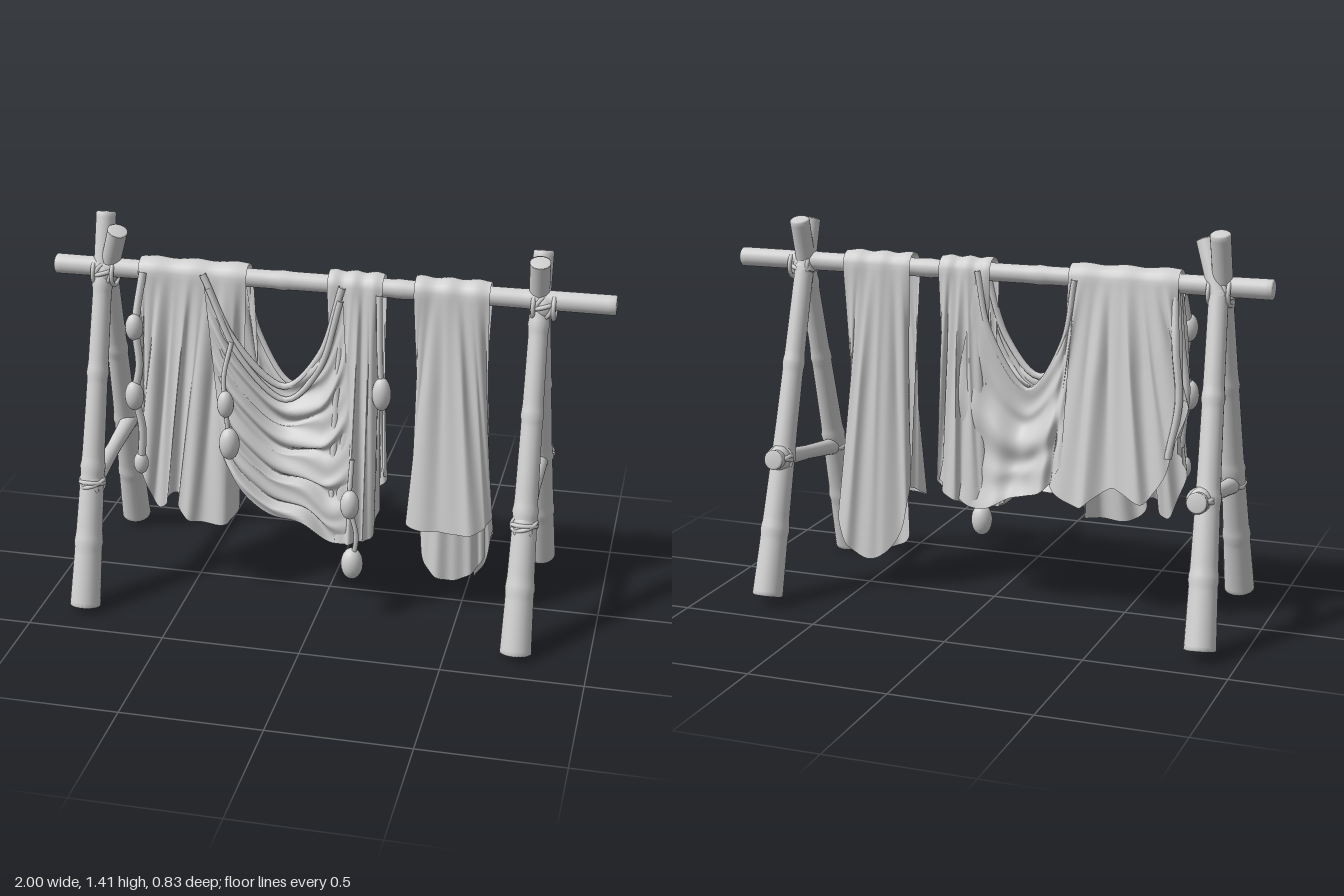
import * as THREE from 'three';

const V = (p) => new THREE.Vector3(...p);
const curve = (pts) => new THREE.CatmullRomCurve3(pts.map(V), false, 'centripetal');
const RAIL_Y = 1.21, RAIL_Z = 0.015;

export function createModel() {
  const root = new THREE.Group();
  const grey = new THREE.MeshStandardMaterial({ color: 0xd0d0d0, side: THREE.DoubleSide });
  grey.name = 'plain grey';

  const add = (name, geo, parent = root) => {
    const m = new THREE.Mesh(geo, grey);
    m.name = name;
    parent.add(m);
    return m;
  };

  // Tapered pole with raised growth rings, running from a to b
  function pole(name, a, b, radii, nodes) {
    const A = V(a), dir = V(b).sub(A), len = dir.length(), n = 72;
    const pts = [new THREE.Vector2(0, 0)];
    for (let i = 0; i <= n; i++) {
      const t = i / n, f = t * (radii.length - 1), k = Math.min(Math.floor(f), radii.length - 2);
      let r = THREE.MathUtils.lerp(radii[k], radii[k + 1], f - k);
      for (const q of nodes) r += 0.004 * Math.exp(-(((t - q) * len / 0.016) ** 2));
      if (i === 0) pts.push(new THREE.Vector2(r - 0.006, 0), new THREE.Vector2(r, 0.005));
      else if (i === n) pts.push(new THREE.Vector2(r, len - 0.005), new THREE.Vector2(r - 0.006, len));
      else pts.push(new THREE.Vector2(r, t * len));
    }
    pts.push(new THREE.Vector2(0, len));
    const m = add(name, new THREE.LatheGeometry(pts, 24));
    m.position.copy(A);
    m.quaternion.setFromUnitVectors(new THREE.Vector3(0, 1, 0), dir.normalize());
  }

  // Cord wraps and a lump of knot around a joint
  function binding(name, x, y, z, r, tilts) {
    const g = new THREE.Group();
    g.name = name;
    g.position.set(x, y, z);
    for (const [rx, ry, off] of tilts) {
      const t = add('cordWrap', new THREE.TorusGeometry(r, 0.008, 8, 24), g);
      t.rotation.set(rx, ry, 0);
      t.position.x = off;
    }
    add('knot', new THREE.SphereGeometry(r, 18, 12), g).scale.set(0.98, 1.15, 0.98);
    root.add(g);
  }

  // Rail and the two A-frames
  pole('rail', [-1, RAIL_Y, RAIL_Z], [1, RAIL_Y, RAIL_Z], [0.036, 0.033, 0.033, 0.035], [0.18, 0.42, 0.63, 0.86]);
  const legR = [0.056, 0.048, 0.041, 0.037, 0.034, 0.036];
  const nodes = [0.17, 0.36, 0.6, 0.82];
  const frames = [
    { x: -0.828, front: [[-0.835, 0.017, 0.362], [-0.822, 1.4, -0.04]], back: [[-0.87, 0.035, -0.365], [-0.812, 1.2, 0]], top: [-0.75, 1.365, 0.055] },
    { x: 0.742, front: [[0.745, 0.017, 0.362], [0.738, 1.37, -0.04]], back: [[0.745, 0.035, -0.365], [0.74, 1.2, 0]], top: [0.738, 1.36, 0.055] },
  ];
  for (const f of frames) {
    const crossing = f.back[1];
    pole('frontLeg', f.front[0], f.front[1], legR, nodes);
    pole('backLeg', f.back[0], crossing, legR.slice(0, 5), [0.2, 0.42, 0.7]);
    pole('backLegTip', [crossing[0] - 0.006, crossing[1] - 0.03, crossing[2] - 0.01], f.top, [0.034, 0.035, 0.036], []);
    pole('rung', [f.x, 0.445, 0.275], [f.x, 0.53, -0.3], [0.034, 0.029, 0.026, 0.03, 0.036], []);
    binding('railBinding', f.x + 0.012, RAIL_Y - 0.02, RAIL_Z, 0.044,
      [[0, 1.57, -0.035], [0, 1.57, 0.035], [0.5, 0.8, 0], [-0.5, -0.8, 0], [1.4, 0.3, 0]]);
    binding('frontRungBinding', f.x, 0.46, 0.235, 0.043, [[1.25, 0, 0], [1.6, 0.3, 0], [0.1, 0.2, 0]]);
    binding('backRungBinding', f.x, 0.52, -0.24, 0.043, [[-1.25, 0, 0], [-1.6, 0.3, 0], [0.1, 0.2, 0]]);
  }

  // Cloth surface: a grid moved by a rule of (u, v)
  function cloth(name, nu, nv, rule) {
    const g = new THREE.PlaneGeometry(1, 1, nu, nv);
    const p = g.attributes.position;
    for (let i = 0; i < p.count; i++) {
      const q = rule(p.getX(i) + 0.5, p.getY(i) + 0.5);
      p.setXYZ(i, q.x, q.y, q.z);
    }
    g.computeVertexNormals();
    add(name, g);
  }
  const pleat = (u, n, s) => 0.6 * Math.sin(u * n * 6.28 + s) + 0.4 * Math.sin(u * n * 11.3 + 2.1 * s);

  // Cloth hung over the rail, from the front hem up, over and down to the back hem
  function drape(name, x0, x1, frontHem, backHem, folds, amp) {
    const F = curve(frontHem), B = curve(backHem);
    cloth(name, 90, 70, (u, v) => {
      const x = THREE.MathUtils.lerp(x0, x1, u), R = 0.052 + 0.003 * Math.sin(u * 17 + x0);
      if (v > 0.42 && v < 0.58) {
        const a = (v - 0.42) / 0.16 * Math.PI;
        return new THREE.Vector3(x, RAIL_Y + R * Math.sin(a), RAIL_Z + R * Math.cos(a));
      }
      const front = v <= 0.5, side = front ? 1 : -1;
      const t = front ? 1 - v / 0.42 : (v - 0.58) / 0.42;
      const p = new THREE.Vector3(x, RAIL_Y, RAIL_Z + side * R);
      p.lerp((front ? F : B).getPoint(u), t);
      const w = Math.min(1, t * 2.5);
      p.z += amp * w * pleat(u, folds, front ? 0.4 : 2);
      p.x += 0.35 * amp * w * Math.sin(u * folds * 9 + t * 3);
      return p;
    });
  }

  // Sheet stretched between an upper and a lower edge, with folds along or down it
  function sheet(name, upper, lower, along, down, amp) {
    const U = curve(upper), L = curve(lower), s = Math.sign(upper[upper.length - 1][0] - upper[0][0]);
    cloth(name, 60, 90, (u, v) => {
      const t = 1 - v, p = U.getPoint(u).lerp(L.getPoint(u), t);
      const mid = Math.sin(Math.PI * THREE.MathUtils.clamp(u, 0, 1)) ** 0.7;
      p.z += s * amp * (along ? mid * pleat(t + 0.06 * Math.sin(u * 5), along, 1) : 0);
      p.y -= along ? 0.5 * amp * mid * Math.sin(t * along * 6.28) : 0;
      p.z += s * amp * t * (down ? pleat(u, down, 0.7) : 0);
      return p;
    });
  }

  // Straight cloth near the left end of the rail, its back panel curling into a tube
  drape('straightCloth', 0.31, 0.572,
    [[0.34, 0.38, 0.02], [0.3, 0.34, 0.09], [0.44, 0.34, 0.13], [0.56, 0.36, 0.155], [0.61, 0.4, 0.1], [0.59, 0.42, 0.03]],
    [[0.33, 0.5, 0], [0.32, 0.33, -0.05], [0.4, 0.15, -0.07], [0.48, 0.12, -0.075], [0.56, 0.17, -0.08], [0.6, 0.28, -0.05], [0.57, 0.15, 0], [0.54, 0.12, 0.025]],
    4, 0.009);
  sheet('straightClothInnerFold',
    [[0.35, 1.2, 0.03], [0.45, 1.2, 0.05], [0.55, 1.2, 0.03]],
    [[0.33, 0.3, -0.03], [0.37, 0.16, 0.06], [0.46, 0.12, 0.075], [0.54, 0.15, 0.05], [0.58, 0.2, 0.02]], 0, 3, 0.01);

  // Wide ragged cloth near the right end
  drape('wideCloth', -0.68, -0.285,
    [[-0.67, 0.6, 0.03], [-0.69, 0.52, 0.1], [-0.61, 0.33, 0.13], [-0.55, 0.4, 0.14], [-0.5, 0.31, 0.16], [-0.35, 0.3, 0.14], [-0.33, 0.33, 0.04]],
    [[-0.68, 0.8, -0.01], [-0.73, 0.82, -0.08], [-0.68, 0.6, -0.11], [-0.6, 0.46, -0.15], [-0.48, 0.5, -0.13], [-0.36, 0.42, -0.14], [-0.24, 0.48, -0.1], [-0.26, 0.5, -0.02]],
    5, 0.016);

  // Narrow cloth holding the end of the swag
  drape('narrowCloth', 0.005, 0.2,
    [[0.03, 0.38, 0.05], [0.01, 0.33, 0.13], [0.06, 0.29, 0.19], [0.13, 0.3, 0.2], [0.18, 0.3, 0.15], [0.19, 0.36, 0.03]],
    [[0.02, 0.45, 0], [0, 0.42, -0.05], [0.1, 0.38, -0.08], [0.19, 0.42, -0.06], [0.2, 0.5, 0]],
    4, 0.014);

  // Swag, front and back, its upper edges hanging close together
  const frontEdge = [[-0.44, 1.23, 0.072], [-0.32, 0.99, 0.09], [-0.15, 0.83, 0.07], [-0.02, 0.96, 0.08], [0.06, 1.22, 0.07]];
  const backEdge = [[0.05, 1.22, -0.04], [0, 1, -0.045], [-0.14, 0.8, -0.03], [-0.27, 0.98, -0.05], [-0.31, 1.21, -0.04]];
  sheet('frontSwag', frontEdge,
    [[-0.36, 0.56, 0.14], [-0.28, 0.44, 0.17], [-0.18, 0.37, 0.18], [-0.05, 0.36, 0.19], [0.05, 0.29, 0.2], [0.14, 0.3, 0.2]],
    5, 0, 0.024);
  sheet('backSwag', backEdge,
    [[0.19, 0.45, -0.05], [0.05, 0.36, -0.08], [-0.1, 0.42, -0.1], [-0.22, 0.46, -0.12], [-0.29, 0.56, -0.11]],
    2, 3, 0.016);
  const rope = (name, pts, r) => add(name, new THREE.TubeGeometry(curve(pts), 40, r, 8));
  rope('frontSwagRolledEdge', frontEdge, 0.013);
  rope('backSwagRolledEdge', backEdge, 0.011);
  rope('frontSwagSecondRoll', frontEdge.map(([x, y, z]) => [x * 0.95, y - 0.045, z + 0.014]), 0.011);

  // Loose ragged strips at the right edge of the wide cloth
  for (let i = 0; i < 4; i++) {
    const z = 0.06 - i * 0.05;
    rope('raggedStrip', [[-0.66, 1.22, 0.02 + z * 0.3], [-0.685, 1, z * 0.8], [-0.69 - 0.015 * (i % 2), 0.82, z], [-0.675, 0.62 + 0.05 * (i % 3), z * 1.2]], 0.014);
  }

  // Hanging cords with pods
  rope('podCord', [[-0.66, 1.22, 0.07], [-0.675, 1.04, 0.13], [-0.66, 0.9, 0.15], [-0.675, 0.79, 0.16], [-0.655, 0.66, 0.16], [-0.665, 0.52, 0.16]], 0.015);
  rope('podCord', [[-0.33, 1.0, 0.11], [-0.35, 0.88, 0.15], [-0.34, 0.78, 0.17], [-0.325, 0.62, 0.18]], 0.009);
  rope('podCord', [[0.19, 1.2, 0.07], [0.2, 1, 0.1], [0.21, 0.86, 0.11]], 0.011);
  rope('podCord', [[0.12, 0.62, 0.18], [0.12, 0.46, 0.215], [0.145, 0.34, 0.22], [0.13, 0.24, 0.21]], 0.009);
  const pods = [
    [-0.678, 1.035, 0.135, 0.032, 0.05], [-0.678, 0.785, 0.165, 0.034, 0.055], [-0.665, 0.52, 0.16, 0.027, 0.042],
    [-0.34, 0.785, 0.17, 0.03, 0.05], [-0.325, 0.64, 0.185, 0.037, 0.06], [0.21, 0.85, 0.11, 0.034, 0.062],
    [0.12, 0.46, 0.215, 0.034, 0.055], [0.128, 0.225, 0.21, 0.04, 0.06],
  ];
  for (const [x, y, z, r, h] of pods) {
    const m = add('pod', new THREE.SphereGeometry(1, 20, 14));
    m.scale.set(r, h, r);
    m.position.set(x, y, z);
  }
  return root;
}
